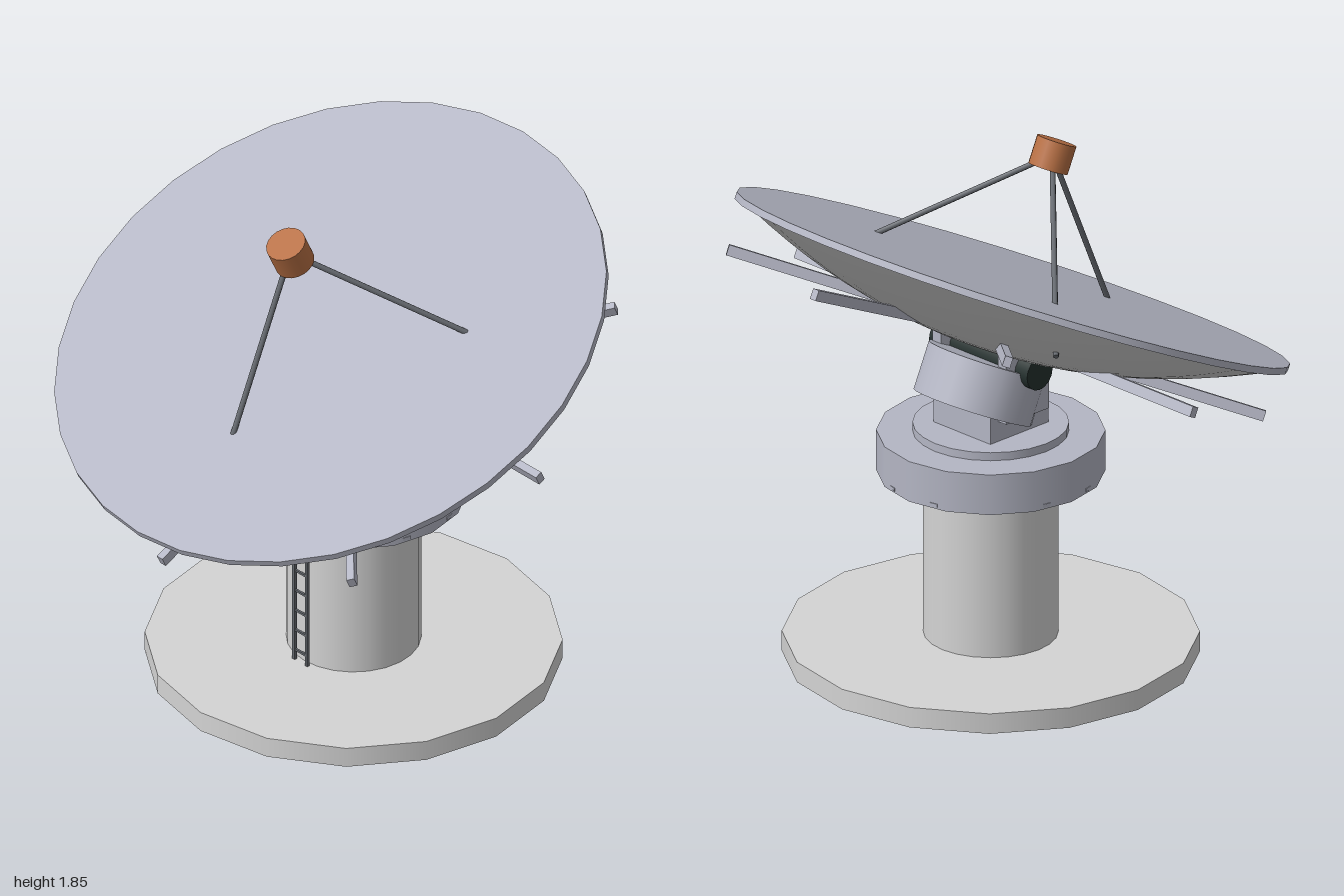
import * as THREE from 'three';

const paint = (name, color) => {
  const m = new THREE.MeshStandardMaterial({ color });
  m.name = name;
  return m;
};

export function createModel() {
  const concrete = paint('pale concrete', 0xd4d4d4);
  const steel = paint('blue grey steel', 0xb4b6c4);
  const strutGrey = paint('dark grey metal', 0x666a70);
  const copper = paint('copper brown', 0xb87044);
  const dark = paint('dark axle', 0x24302e);

  const model = new THREE.Group();
  model.name = 'dishAntenna';

  const add = (parent, name, geometry, material, x = 0, y = 0, z = 0) => {
    const mesh = new THREE.Mesh(geometry, material);
    mesh.name = name;
    mesh.position.set(x, y, z);
    parent.add(mesh);
    return mesh;
  };
  // Upright cylinder between two heights
  const disc = (parent, name, r, y0, y1, sides, material) =>
    add(parent, name, new THREE.CylinderGeometry(r, r, y1 - y0, sides), material, 0, (y0 + y1) / 2, 0);

  // Pedestal, standing slightly behind the centre
  const pedestal = new THREE.Group();
  pedestal.name = 'pedestal';
  pedestal.position.z = -0.08;
  model.add(pedestal);
  disc(pedestal, 'base', 0.72, 0, 0.075, 16, concrete);
  disc(pedestal, 'tower', 0.233, 0.075, 0.68, 24, concrete);
  disc(pedestal, 'turntable', 0.395, 0.68, 0.83, 16, steel);
  disc(pedestal, 'turntableCap', 0.27, 0.83, 0.86, 24, steel);
  add(pedestal, 'mountBlock', new THREE.BoxGeometry(0.28, 0.16, 0.28), steel, 0, 0.94, 0);

  // Small bolts round the foot of the turntable
  for (let i = 0; i < 12; i++) {
    const a = (i + 0.5) * Math.PI / 6;
    const bolt = add(pedestal, 'bolt', new THREE.BoxGeometry(0.03, 0.012, 0.02), steel,
      Math.sin(a) * 0.381, 0.693, Math.cos(a) * 0.381);
    bolt.rotation.y = a;
  }

  // Yoke plates and the axle through them
  for (const side of [-1, 1]) {
    add(pedestal, 'yokePlate', new THREE.BoxGeometry(0.04, 0.27, 0.207), steel, side * 0.16, 1.07, 0);
  }
  const axle = add(pedestal, 'axle', new THREE.CylinderGeometry(0.062, 0.062, 0.48, 16), dark, 0, 1.115, 0);
  axle.rotation.z = Math.PI / 2;

  // Ladder on the front of the tower
  const ladder = new THREE.Group();
  ladder.name = 'ladder';
  ladder.position.z = 0.168;
  model.add(ladder);
  for (const side of [-1, 1]) {
    add(ladder, 'ladderRail', new THREE.BoxGeometry(0.012, 0.605, 0.012), strutGrey, side * 0.032, 0.3775, 0);
  }
  for (let i = 0; i < 7; i++) {
    add(ladder, 'ladderRung', new THREE.BoxGeometry(0.064, 0.008, 0.008), strutGrey, 0, 0.115 + i * 0.081, 0);
  }

  // Tilted dish: local y is its axis, local y = 0 its face
  const dish = new THREE.Group();
  dish.name = 'dish';
  dish.position.set(0, 1.367, 0.03);
  dish.rotation.x = THREE.MathUtils.degToRad(25);
  model.add(dish);
  disc(dish, 'dishFace', 1, -0.025, 0, 32, steel);

  const profile = [];
  for (let i = 0; i <= 12; i++) {
    const t = i / 12;
    profile.push(new THREE.Vector2(0.968 * t, -0.262 + 0.238 * t * t));
  }
  add(dish, 'dishBack', new THREE.LatheGeometry(profile, 32), concrete);
  disc(dish, 'hub', 0.213, -0.47, -0.295, 24, steel);

  // Radial ribs behind the dish
  for (let i = 0; i < 8; i++) {
    const a = i * Math.PI / 4;
    const r = 0.67;
    const rib = add(dish, 'rib', new THREE.BoxGeometry(0.028, 0.038, 0.6), steel,
      Math.sin(a) * r, -0.2, Math.cos(a) * r);
    rib.rotation.y = a;
  }

  // Feed box held by three struts that pass through the dish
  disc(dish, 'feed', 0.071, 0.395, 0.497, 20, copper);
  const up = new THREE.Vector3(0, 1, 0);
  const apex = new THREE.Vector3(0, 0.445, 0);
  for (let i = 0; i < 3; i++) {
    const a = i * Math.PI * 2 / 3;
    const foot = new THREE.Vector3(Math.sin(a) * 0.68, -0.16, Math.cos(a) * 0.68);
    const span = apex.clone().sub(foot);
    const strut = add(dish, 'strut', new THREE.CylinderGeometry(0.01, 0.01, span.length(), 8), strutGrey);
    strut.position.copy(foot).addScaledVector(span, 0.5);
    strut.quaternion.setFromUnitVectors(up, span.normalize());
  }

  return model;
}
